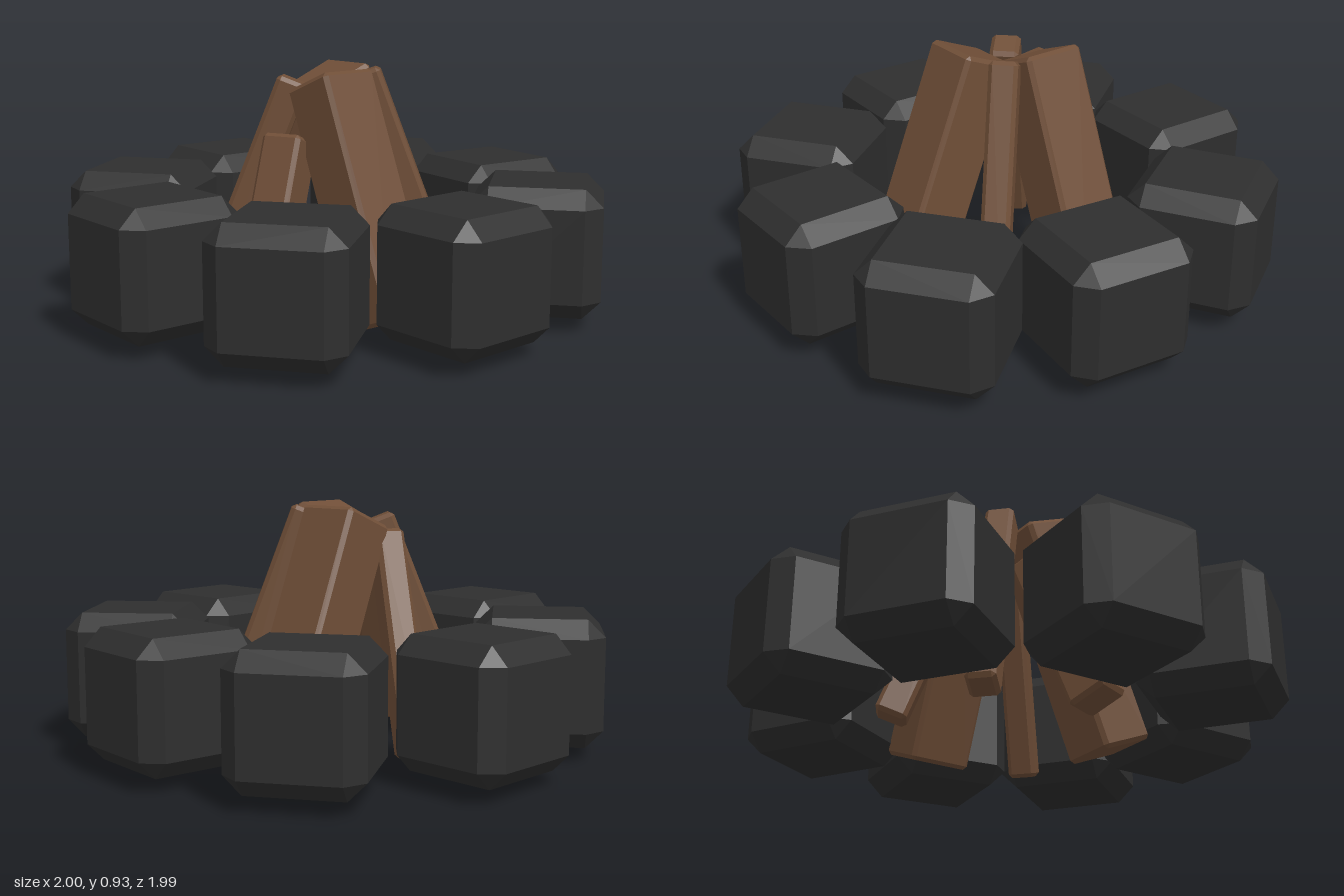
import * as THREE from 'three';
import { ConvexGeometry } from 'three/addons/geometries/ConvexGeometry.js';

// Box with flat bevels of size b on all edges and corners
function bevelledBox(w, h, d, b) {
  const points = [];
  for (const sx of [-1, 1]) for (const sy of [-1, 1]) for (const sz of [-1, 1]) {
    const x = w / 2, y = h / 2, z = d / 2;
    points.push(
      new THREE.Vector3(sx * x, sy * (y - b), sz * (z - b)),
      new THREE.Vector3(sx * (x - b), sy * y, sz * (z - b)),
      new THREE.Vector3(sx * (x - b), sy * (y - b), sz * z)
    );
  }
  return new ConvexGeometry(points);
}

export function createModel() {
  const model = new THREE.Group();
  model.name = 'campfire';
  const stoneMaterial = new THREE.MeshStandardMaterial({ color: 0x2e2e2e, flatShading: true });
  const woodMaterial = new THREE.MeshStandardMaterial({ color: 0x6f4e37, flatShading: true });
  const rad = THREE.MathUtils.degToRad;

  // Ring of stones: x, z, turn in degrees
  const stoneGeometry = bevelledBox(0.475, 0.475, 0.475, 0.065);
  const stones = [
    [-0.073, 0.752, 0], [0.475, 0.62, 37], [0.738, 0.125, -8], [0.64, -0.44, 30],
    [0.11, -0.757, -2.5], [-0.445, -0.607, 35], [-0.757, -0.088, -2], [-0.607, 0.472, 36],
  ];
  for (const [x, z, turn] of stones) {
    const stone = new THREE.Mesh(stoneGeometry, stoneMaterial);
    stone.name = 'stone';
    stone.position.set(x, 0.286, z);
    stone.rotation.y = rad(turn);
    model.add(stone);
  }

  // Leaning logs: x, y, z of the outer top edge; outward direction dx, dz; width, depth, length; lean
  const logs = [
    ['frontLog', -0.075, 0.934, 0.18, 0, 1, 0.24, 0.23, 0.92, 22],
    ['leftLog', 0.18, 0.934, -0.102, 1, 0, 0.245, 0.23, 0.92, 22],
    ['frontLeftLog', 0.145, 0.93, 0.105, 0.7, 0.715, 0.107, 0.115, 0.94, 20.5],
    ['backLeftLog', -0.03, 0.847, -0.225, 0.49, -0.87, 0.11, 0.12, 0.84, 21.5],
    ['backRightLog', -0.145, 0.9, -0.135, -0.71, -0.7, 0.11, 0.12, 0.9, 21.5],
    ['rightLog', -0.27, 0.705, 0.025, -0.927, 0.375, 0.155, 0.16, 0.67, 22],
  ];
  for (const [name, x, y, z, dx, dz, w, d, length, lean] of logs) {
    const log = new THREE.Mesh(bevelledBox(w, length, d, 0.015), woodMaterial);
    log.name = name;
    log.rotation.set(-rad(lean), Math.atan2(dx, dz), 0, 'YXZ');
    const edge = new THREE.Vector3(0, length / 2, d / 2).applyEuler(log.rotation);
    log.position.set(x, y, z).sub(edge);
    model.add(log);
  }
  return model;
}
